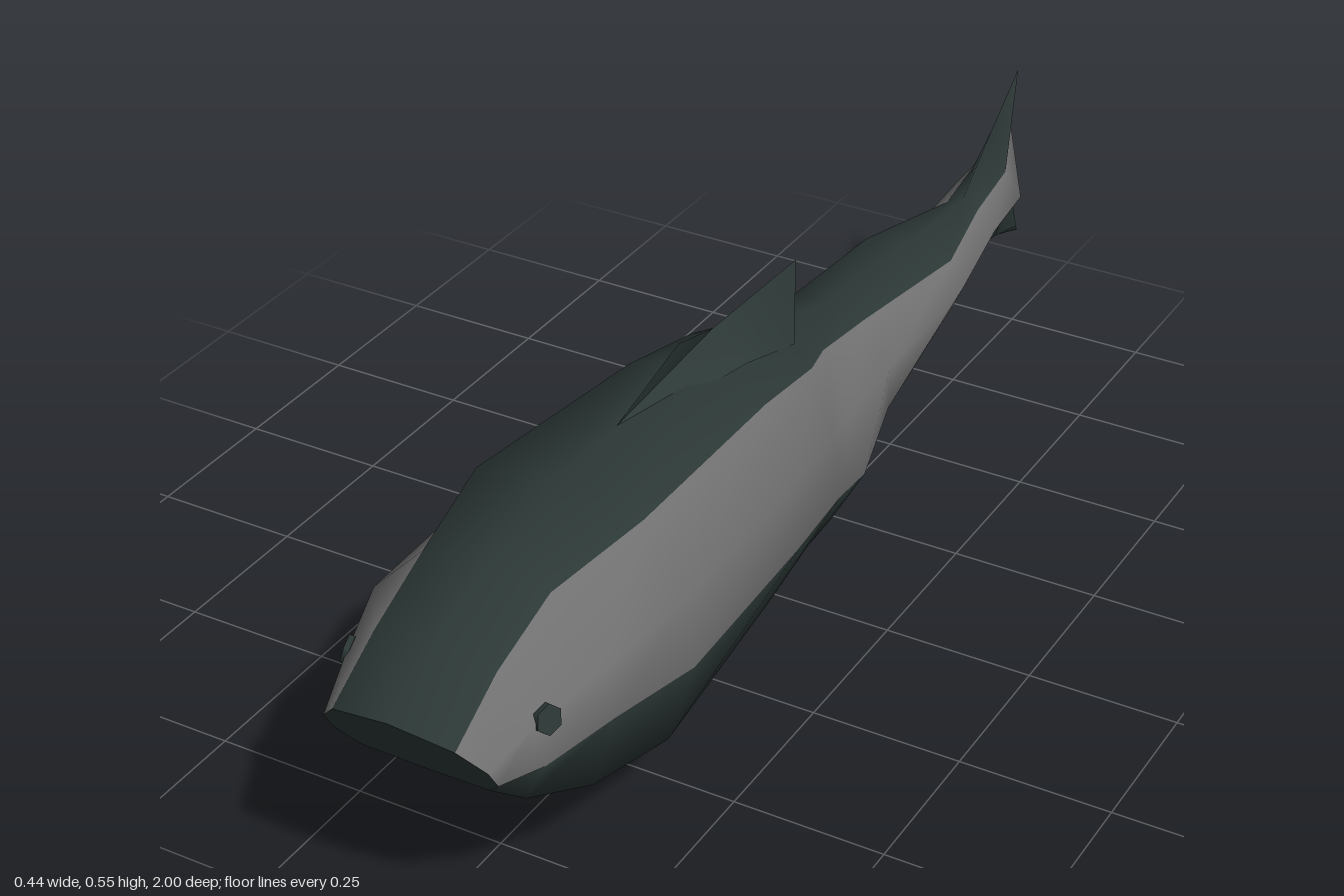
import * as THREE from 'three';

const dark = new THREE.MeshStandardMaterial({ color: 0x2c3836, side: THREE.DoubleSide });
dark.name = 'dark slate';
const grey = new THREE.MeshStandardMaterial({ color: 0x707070, side: THREE.DoubleSide });
grey.name = 'flank grey';

// Cross-sections, nose to tail: z, top y, back edge x and y, flank x, lower edge x and y, bottom y
const SECTIONS = [
  [1, 0.385, 0.1, 0.365, 0.135, 0.135, 0.29, 0.255],
  [0.88, 0.447, 0.1, 0.43, 0.157, 0.172, 0.297, 0.218],
  [0.75, 0.5, 0.105, 0.482, 0.195, 0.204, 0.305, 0.153],
  [0.56, 0.53, 0.14, 0.502, 0.205, 0.22, 0.275, 0.108],
  [0.17, 0.525, 0.12, 0.477, 0.175, 0.183, 0.242, 0.1],
  [0, 0.49, 0.108, 0.448, 0.148, 0.16, 0.225, 0.1],
  [-0.08, 0.458, 0.085, 0.432, 0.135, 0.163, 0.226, 0.103],
  [-0.25, 0.412, 0.07, 0.397, 0.118, 0.118, 0.245, 0.158],
  [-0.55, 0.384, 0.08, 0.364, 0.106, 0.088, 0.28, 0.22],
  [-0.76, 0.363, 0.03, 0.35, 0.065, 0.05, 0.291, 0.266],
  [-0.87, 0.45, 0.03, 0.375, 0.062, 0.032, 0.295, 0.235],
  [-0.94, 0.525, 0, 0.42, 0, 0, 0.27, 0.19],
];
const SIDES = 10;

// Mirrored ten-point ring; the nose slopes back underneath and the tail is forked
function ringOf([z, top, backX, backY, flankX, lowX, lowY, bottom], row) {
  const { lerp, clamp } = THREE.MathUtils;
  const depth = (y) => {
    if (row === 0) return lerp(0.92, z, (y - bottom) / (top - bottom));
    if (row === SECTIONS.length - 1) return z - (y > 0.35 ? 0.18 * (y - 0.35) : 0.375 * (0.35 - y));
    return z;
  };
  const half = [
    [0, top],
    [backX, backY],
    [flankX, lerp(lowY, backY, 0.48)],
    [lowX, lowY],
    [lowX * clamp(0.65 + 0.25 * z, 0.5, 0.8), lerp(bottom, lowY, 0.12)],
    [0, bottom],
  ].map(([x, y]) => [x, y, depth(y)]);
  return [...half, ...half.slice(1, 5).reverse().map(([x, y, d]) => [-x, y, d])];
}

function geometryFrom(points, index) {
  const g = new THREE.BufferGeometry();
  g.setAttribute('position', new THREE.Float32BufferAttribute(points.flat(), 3));
  g.setIndex(index);
  g.computeVertexNormals();
  return g;
}

// Smooth lofted body with dark back and belly strips and grey flank strips
function makeBody() {
  const index = [];
  const counts = [[9, 0, 3, 4, 5, 6], [1, 2, 7, 8]].map((strips) => {
    const start = index.length;
    for (const j of strips) {
      for (let i = 0; i < SECTIONS.length - 1; i++) {
        const a = i * SIDES + j, b = i * SIDES + (j + 1) % SIDES;
        index.push(a, b, a + SIDES, b, b + SIDES, a + SIDES);
      }
    }
    return [start, index.length - start];
  });
  const g = geometryFrom(SECTIONS.flatMap(ringOf), index);
  counts.forEach(([start, count], material) => g.addGroup(start, count, material));
  return new THREE.Mesh(g, [dark, grey]);
}

// Sloping blunt mouth closing the nose
function makeMouth() {
  const index = [];
  for (let j = 0; j < SIDES; j++) index.push(SIDES, (j + 1) % SIDES, j);
  return new THREE.Mesh(geometryFrom([...ringOf(SECTIONS[0], 0), [0, 0.32, 0.96]], index), dark);
}

// Wedge fin: base points [z, y, half width] joined to a crest of [z, y]
function makeFin(base, crest, down) {
  const group = new THREE.Group();
  const n = base.length;
  for (const side of [1, -1]) {
    const points = [
      ...base.map(([z, y, w]) => [side * w, y, z]),
      ...crest.map(([z, y]) => [0, y, z]),
      [0, base[n - 1][1], base[n - 1][0]],
    ];
    const index = [];
    const face = (a, b, c) => ((side > 0) !== down ? index.push(a, b, c) : index.push(a, c, b));
    for (let i = 0; i < n - 1; i++) {
      face(i, i + 1, n + i);
      face(i + 1, n + i + 1, n + i);
    }
    face(n - 1, 2 * n, 2 * n - 1); // trailing edge
    const mesh = new THREE.Mesh(geometryFrom(points, index), dark);
    mesh.name = side > 0 ? 'finLeftFace' : 'finRightFace';
    group.add(mesh);
  }
  return group;
}

export function createModel() {
  const model = new THREE.Group();
  model.name = 'fish';
  const add = (name, part) => {
    part.name = name;
    model.add(part);
    return part;
  };

  add('body', makeBody());
  add('mouth', makeMouth());
  add('dorsalFin', makeFin(
    [[0.4, 0.515, 0.01], [0.12, 0.505, 0.06], [-0.04, 0.455, 0.055]],
    [[0.4, 0.528], [0.12, 0.549], [-0.145, 0.54]], false));
  add('ventralFin', makeFin(
    [[0.18, 0.11, 0.02], [0.02, 0.105, 0.08], [-0.075, 0.1, 0.05], [-0.15, 0.04, 0.012]],
    [[0.18, 0.1], [-0.01, 0.028], [-0.08, 0.016], [-0.148, 0]], true));

  // Six-sided eyes lying on the cheeks
  for (const side of [1, -1]) {
    const eye = add(side > 0 ? 'leftEye' : 'rightEye',
      new THREE.Mesh(new THREE.CylinderGeometry(0.023, 0.023, 0.009, 6), dark));
    eye.position.set(side * 0.164, 0.36, 0.859);
    eye.quaternion.setFromUnitVectors(new THREE.Vector3(0, 1, 0),
      new THREE.Vector3(side * 0.92, 0.25, 0.29).normalize());
  }
  return model;
}
